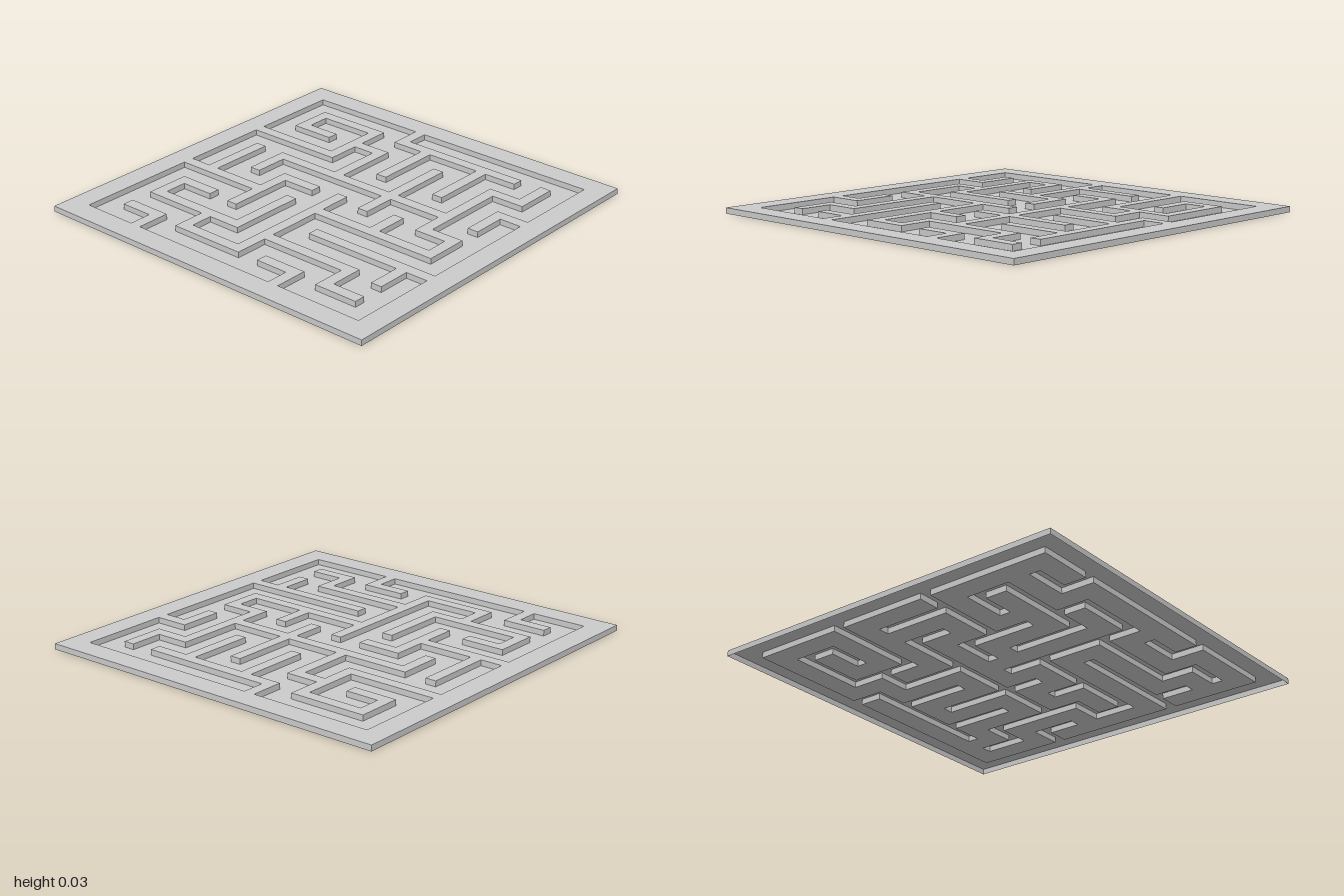
import * as THREE from 'three';
import { mergeGeometries } from 'three/addons/utils/BufferGeometryUtils.js';

const N = 33;          // cells per side: wall = 1 cell, corridor = 2 cells
const U = 2 / N;       // cell size
const H = U / 2;       // wall height

// Wall centrelines as x,z pairs on an 11 x 11 lattice (0 and 10 lie in the frame)
const WALLS = [
  [0, 3, 3, 3, 3, 1, 1, 1, 1, 2, 2, 2], [3, 2, 4, 2, 4, 4], [2, 5, 2, 4, 8, 4], [6, 2, 6, 5],
  [9, 1, 9, 2, 8, 2, 8, 5, 9, 5, 9, 6, 5, 6], [7, 5, 7, 6], [5, 5, 5, 9, 3, 9, 3, 8],
  [5, 8, 8, 8, 8, 9, 9, 9], [4, 6, 4, 8, 1, 8, 1, 7, 2, 7], [0, 6, 3, 6], [1, 4, 1, 6],
  [4, 5, 3, 5, 3, 7], [4, 0, 4, 1, 8, 1], [5, 1, 5, 3], [7, 1, 7, 3], [1, 9, 2, 9, 2, 10],
  [6, 9, 7, 9, 7, 10], [6, 7, 10, 7], [9, 7, 9, 8], [10, 3, 9, 3, 9, 4],
];

const isFrame = (x, z) => Math.min(x, z) < 2 || Math.max(x, z) > N - 3;

// Mark the raised cells: the frame and every wall run
function raisedCells() {
  const up = Array.from({ length: N }, (_, x) => Array.from({ length: N }, (_, z) => isFrame(x, z)));
  for (const w of WALLS) {
    for (let i = 0; i + 3 < w.length; i += 2) {
      const [x0, z0, x1, z1] = w.slice(i, i + 4).map((k) => 3 * k + 1);
      for (let x = Math.min(x0, x1); x <= Math.max(x0, x1); x++)
        for (let z = Math.min(z0, z1); z <= Math.max(z0, z1); z++) up[x][z] = true;
    }
  }
  return up;
}

export function createModel() {
  const group = new THREE.Group();
  group.name = 'mazePlate';
  const material = new THREE.MeshStandardMaterial({ color: 0xcccccc, side: THREE.DoubleSide });
  const up = raisedCells();
  const parts = { frameTop: [], wallTops: [], corridorFloor: [], frameSkirt: [], wallSides: [] };

  for (let x = 0; x < N; x++) {
    for (let z = 0; z < N; z++) {
      const px = (x + 0.5) * U - 1, pz = (z + 0.5) * U - 1;
      const raised = up[x][z];

      // Level surface, open underneath
      const name = !raised ? 'corridorFloor' : isFrame(x, z) ? 'frameTop' : 'wallTops';
      parts[name].push(new THREE.PlaneGeometry(U, U).rotateX(-Math.PI / 2).translate(px, raised ? H : 0, pz));
      if (!raised) continue;

      // Upright faces wherever a raised cell meets a low one or the outside
      for (let k = 0; k < 4; k++) {
        const a = k * Math.PI / 2;
        const dx = Math.round(Math.sin(a)), dz = Math.round(Math.cos(a));
        const neighbour = up[x + dx]?.[z + dz];
        if (neighbour) continue;
        const side = new THREE.PlaneGeometry(U, H).rotateY(a)
          .translate(px + dx * U / 2, H / 2, pz + dz * U / 2);
        parts[neighbour === undefined ? 'frameSkirt' : 'wallSides'].push(side);
      }
    }
  }

  for (const [name, pieces] of Object.entries(parts)) {
    const mesh = new THREE.Mesh(mergeGeometries(pieces), material);
    mesh.name = name;
    group.add(mesh);
  }
  return group;
}
